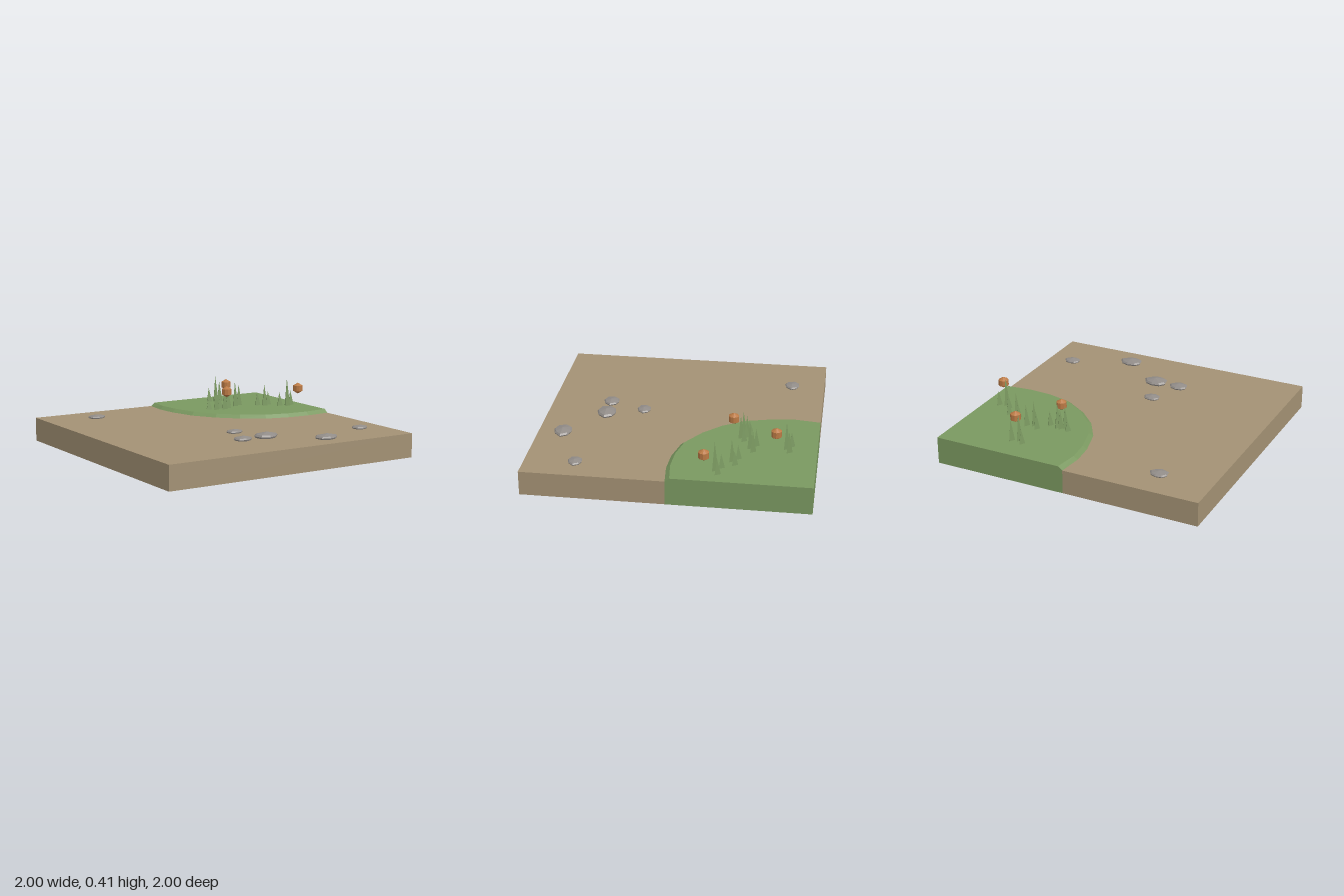
import * as THREE from 'three';

const mat = (name, color) => new THREE.MeshStandardMaterial({ name, color, flatShading: true });

// Closed solid through stacked rings of [x, y, z] points, capped at both ends
function loft(rings) {
  const pos = [];
  const tri = (...pts) => pts.forEach((p) => pos.push(...p));
  for (let k = 0; k < rings.length - 1; k++) {
    const lo = rings[k], hi = rings[k + 1], n = lo.length;
    for (let i = 0; i < n; i++) {
      const j = (i + 1) % n;
      tri(lo[i], hi[i], lo[j]);
      tri(lo[j], hi[i], hi[j]);
    }
  }
  const cap = (ring, up) => {
    const flat = ring.map(([x, , z]) => new THREE.Vector2(x, z));
    for (const [a, b, c] of THREE.ShapeUtils.triangulateShape(flat, [])) {
      const area = (flat[b].x - flat[a].x) * (flat[c].y - flat[a].y)
        - (flat[c].x - flat[a].x) * (flat[b].y - flat[a].y);
      if ((area < 0) === up) tri(ring[a], ring[b], ring[c]);
      else tri(ring[a], ring[c], ring[b]);
    }
  };
  cap(rings[0], false);
  cap(rings[rings.length - 1], true);
  const g = new THREE.BufferGeometry();
  g.setAttribute('position', new THREE.Float32BufferAttribute(pos, 3));
  g.computeVertexNormals();
  return g;
}

const level = (outline, y) => outline.map(([x, z]) => [x, y, z]);

export function createModel() {
  const root = new THREE.Group();
  root.name = 'terrainTile';
  const dirt = mat('dirt', 0xa39174);
  const grass = mat('grass', 0x7a9860);
  const stone = mat('stone', 0x918c88);
  const orange = mat('orange', 0xbb7a45);

  const add = (parent, name, geometry, material, x = 0, y = 0, z = 0) => {
    const m = new THREE.Mesh(geometry, material);
    m.name = name;
    m.position.set(x, y, z);
    parent.add(m);
    return m;
  };
  const group = (name) => {
    const g = new THREE.Group();
    g.name = name;
    root.add(g);
    return g;
  };

  // Curved border between dirt and grass: foot of the bank and its upper rim
  const foot = [[0, -1], [-0.02, -0.815], [-0.005, -0.65], [0.05, -0.45], [0.155, -0.28],
    [0.29, -0.147], [0.455, -0.04], [0.635, 0.003], [0.81, 0.013], [1, -0.005]];
  const rim = [[0.033, -1], [0.008, -0.82], [0.024, -0.66], [0.075, -0.47], [0.176, -0.302],
    [0.305, -0.173], [0.465, -0.068], [0.64, -0.026], [0.81, -0.016], [1, -0.036]];
  const ground = [[-1, -1], ...foot, [1, 1], [-1, 1]];
  const meadow = (edge) => [[1, -1], ...[...edge].reverse()];

  add(root, 'dirtSlab', loft([level(ground, 0), level(ground, 0.175)]), dirt);
  add(root, 'grassBank', loft([
    level(meadow(foot), 0), level(meadow(foot), 0.175), level(meadow(rim), 0.2),
  ]), grass);

  // Grass tufts: three-sided spikes as [x, z, height]
  const tufts = [
    [[0.425, -0.815, 0.11], [0.465, -0.78, 0.205], [0.515, -0.802, 0.16]],
    [[0.447, -0.568, 0.13], [0.488, -0.528, 0.19], [0.538, -0.552, 0.165]],
    [[0.655, -0.463, 0.105], [0.695, -0.423, 0.165], [0.745, -0.447, 0.105]],
    [[0.797, -0.362, 0.105], [0.84, -0.322, 0.215], [0.89, -0.345, 0.115]],
    [[0.23, -0.503, 0.085], [0.27, -0.463, 0.165], [0.322, -0.487, 0.1]],
    [[0.295, -0.49, 0.15], [0.34, -0.45, 0.17], [0.387, -0.475, 0.11]],
  ];
  const tuftGroup = group('grassTufts');
  for (const tuft of tufts) {
    for (const [x, z, h] of tuft) {
      const spike = add(tuftGroup, 'grassSpike', new THREE.ConeGeometry(0.027, h, 3), grass, x, 0.2 + h / 2, z);
      spike.rotation.y = Math.PI;
    }
  }

  // Orange blossoms above the tufts
  const blossoms = group('blossoms');
  for (const [x, z] of [[0.525, -0.715], [0.33, -0.4], [0.898, -0.255]]) {
    add(blossoms, 'blossom', new THREE.SphereGeometry(0.043, 10, 3), orange, x, 0.343, z);
  }

  // Flat faceted rocks: [x, z, width, depth, top height]
  const outline = [[1, 0.05], [0.45, 0.78], [-0.15, 1], [-0.85, 0.68],
    [-1, -0.3], [-0.65, -0.88], [0.05, -1], [0.65, -0.72]];
  const rocks = group('rocks');
  for (const [x, z, w, d, h] of [
    [-0.605, -0.755, 0.135, 0.11, 0.026], [-0.05, 0.305, 0.125, 0.1, 0.026],
    [-0.15, 0.567, 0.14, 0.115, 0.03], [0.042, 0.57, 0.18, 0.14, 0.04],
    [0.377, 0.825, 0.175, 0.13, 0.035], [0.81, 0.647, 0.125, 0.1, 0.026],
  ]) {
    const ring = (s, y) => outline.map(([a, b]) => [a * s * w / 2, y, b * s * d / 2]);
    add(rocks, 'rock', loft([
      ring(0.8, -0.015), ring(1, h * 0.3), ring(0.85, h * 0.6), ring(0.06, h),
    ]), stone, x, 0.175, z);
  }
  return root;
}
